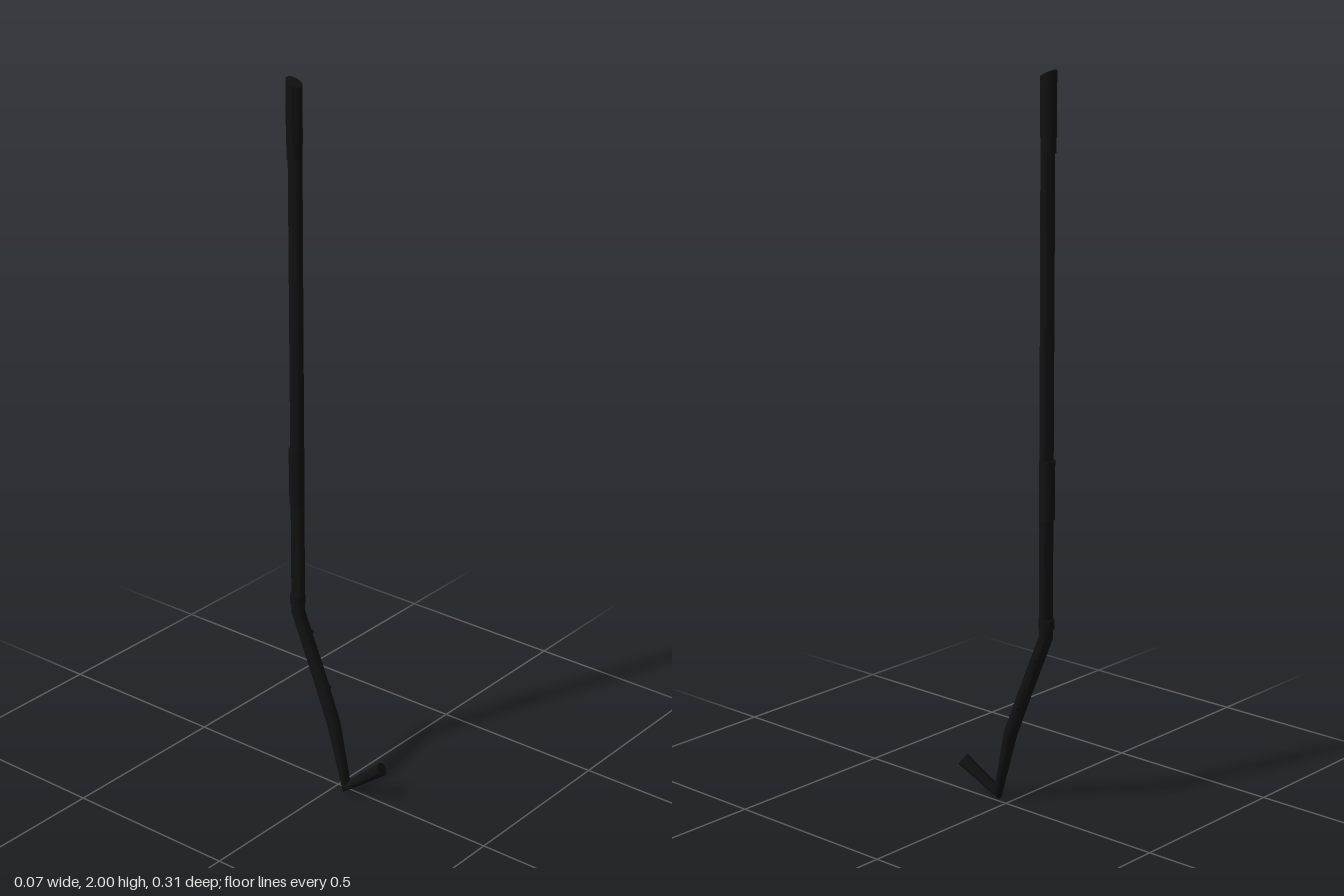
import * as THREE from 'three';
import { toCreasedNormals } from 'three/addons/utils/BufferGeometryUtils.js';

const SIDES = 20;
const X = -0.0107, Z = -0.134; // axis of the upright shaft

// Round bar through a list of points, one ring per point, flat capped ends
function bentBar(points, radius) {
  const pos = [], index = [], n = points.length;
  const dir = (a, b) => b.clone().sub(a).normalize();
  points.forEach((p, i) => {
    const t = new THREE.Vector3();
    if (i > 0) t.add(dir(points[i - 1], p));
    if (i < n - 1) t.add(dir(p, points[i + 1]));
    t.normalize();
    const u = new THREE.Vector3(1, 0, 0).addScaledVector(t, -t.x).normalize();
    const v = t.clone().cross(u);
    for (let j = 0; j < SIDES; j++) {
      const a = (j / SIDES) * Math.PI * 2;
      const q = p.clone().addScaledVector(u, Math.cos(a) * radius).addScaledVector(v, Math.sin(a) * radius);
      pos.push(q.x, q.y, q.z);
    }
  });
  for (let i = 0; i < n - 1; i++) {
    for (let j = 0; j < SIDES; j++) {
      const k = (j + 1) % SIDES;
      const a = i * SIDES + j, b = i * SIDES + k, c = a + SIDES, d = b + SIDES;
      index.push(a, b, c, b, d, c);
    }
  }
  const last = (n - 1) * SIDES;
  for (let j = 1; j < SIDES - 1; j++) {
    index.push(0, j + 1, j, last, last + j, last + j + 1);
  }
  const g = new THREE.BufferGeometry();
  g.setAttribute('position', new THREE.Float32BufferAttribute(pos, 3));
  g.setIndex(index);
  return toCreasedNormals(g, 0.7);
}

export function createModel() {
  const model = new THREE.Group();
  const black = new THREE.MeshStandardMaterial({ color: 0x111111 });
  const add = (name, geometry) => {
    const mesh = new THREE.Mesh(geometry, black);
    mesh.name = name;
    model.add(mesh);
    return mesh;
  };

  // Bent shaft, ending in a short upturned foot
  const path = [
    [X, 1.96, -0.132], [X, 0.505, -0.132], [-0.0115, 0.33, -0.058],
    [-0.0155, 0.2, -0.003], [-0.016, 0.02, 0.042], [0.0143, 0.098, 0.143],
  ].map((p) => new THREE.Vector3(...p));
  add('shaft', bentBar(path, 0.0188));

  // Sleeves around the upright part
  const sleeve = (name, bottom, top, radius) => {
    const m = add(name, new THREE.CylinderGeometry(radius, radius, top - bottom, 24));
    m.position.set(X, (bottom + top) / 2, Z);
    return m;
  };
  const topGrip = sleeve('topGrip', 1.83, 2.0, 0.0214);
  sleeve('topGripCuff', 1.79, 1.83, 0.0202);
  sleeve('middleGrip', 0.89, 0.99, 0.0212);
  sleeve('middleGripCuff', 0.83, 0.89, 0.0206);
  sleeve('collar', 0.53, 0.557, 0.0208);

  // Slanted top, lower at the front
  const p = topGrip.geometry.attributes.position;
  for (let i = 0; i < p.count; i++) {
    if (p.getY(i) > 0) p.setY(i, p.getY(i) - (p.getZ(i) + 0.0214) * 0.5);
  }
  topGrip.geometry = toCreasedNormals(topGrip.geometry, 0.7);

  // Small pegs on the left of the sloping part
  [[0.44, -0.108, 0.018], [0.29, -0.045, 0.015]].forEach(([y, z, end]) => {
    const peg = add('peg', new THREE.CylinderGeometry(0.007, 0.007, 0.025, 12));
    peg.rotation.z = Math.PI / 2;
    peg.position.set(end - 0.0125, y, z);
  });

  return model;
}
